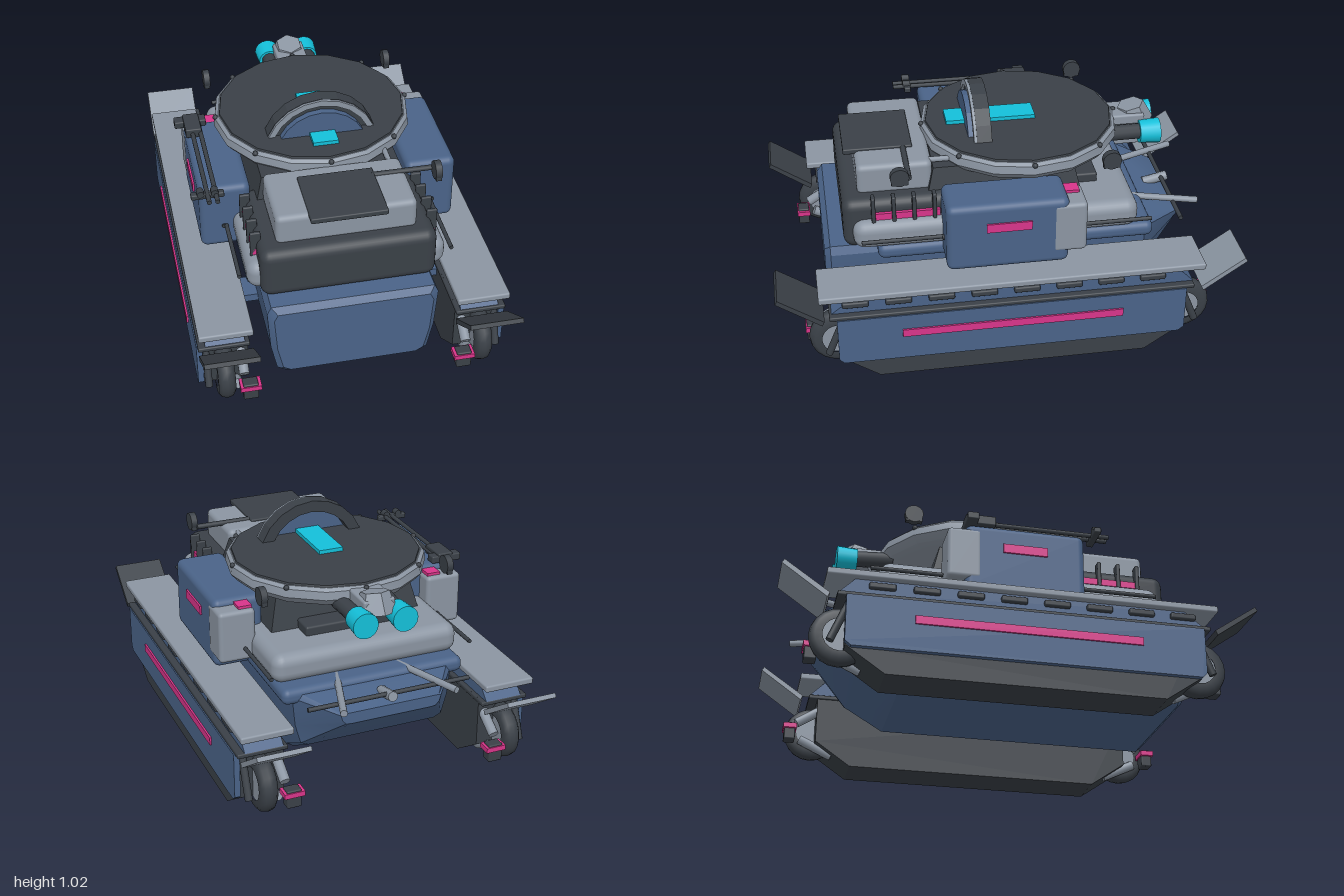
import * as THREE from 'three';
import { RoundedBoxGeometry } from 'three/addons/geometries/RoundedBoxGeometry.js';
import { toCreasedNormals } from 'three/addons/utils/BufferGeometryUtils.js';

const mat = (name, color) => { const m = new THREE.MeshStandardMaterial({ color }); m.name = name; return m; };

export function createModel() {
  const root = new THREE.Group();
  root.name = 'trackedVehicle';
  const grey = mat('light grey', 0x8b95a2), dark = mat('charcoal', 0x3a4047), blue = mat('slate blue', 0x4a6388);
  const cyan = mat('cyan glow', 0x14c0da), pink = mat('magenta trim', 0xd8358a);

  const add = (name, geo, material, x = 0, y = 0, z = 0) => {
    const m = new THREE.Mesh(geo, material);
    m.name = name;
    m.position.set(x, y, z);
    root.add(m);
    return m;
  };
  // box from its extents, with optional rounded edges
  const box = (name, m, x0, x1, y0, y1, z0, z1, r = 0) => {
    const s = [Math.abs(x1 - x0), y1 - y0, z1 - z0];
    const g = r ? new RoundedBoxGeometry(...s, 3, r) : new THREE.BoxGeometry(...s);
    return add(name, g, m, (x0 + x1) / 2, (y0 + y1) / 2, (z0 + z1) / 2);
  };
  // round bar between two points
  const bar = (name, m, a, b, r, sides = 10) => {
    const p = new THREE.Vector3(...a), q = new THREE.Vector3(...b), d = q.clone().sub(p);
    const o = add(name, new THREE.CylinderGeometry(r, r, d.length(), sides), m);
    o.position.copy(p).add(q).multiplyScalar(0.5);
    o.quaternion.setFromUnitVectors(new THREE.Vector3(0, 1, 0), d.normalize());
    return o;
  };
  const plate = (pts) => new THREE.Shape(pts.map(p => new THREE.Vector2(...p)));
  // side profile given as (z, y), extruded across x
  const sideExtrude = (name, m, pts, x0, x1) => {
    const g = new THREE.ExtrudeGeometry(plate(pts.map(([z, y]) => [-z, y])), { depth: x1 - x0, bevelEnabled: false });
    g.rotateY(Math.PI / 2);
    return add(name, g, m, x0, 0, 0);
  };
  const mirrorSpan = (s, a, b) => s > 0 ? [a, b] : [-b, -a];

  // hull lofted through cross-sections from front to back: z, bottom, top, width
  const stations = [[0.775, 0.14, 0.455, 0.93], [0.75, 0.12, 0.48, 1], [-0.45, 0.12, 0.48, 1],
    [-0.62, 0.22, 0.48, 1], [-0.8, 0.39, 0.44, 0.62]];
  const ring = [[0.29, 0], [0.325, 0.06], [0.35, 0.4], [0.362, 0.9], [0.345, 1]];
  const section = [...ring, ...ring.map(([x, y]) => [-x, y]).reverse()], n = section.length;
  const pos = [], idx = [];
  stations.forEach(([z, b, t, w], i) => {
    section.forEach(([x, y]) => pos.push(x * w, b + (t - b) * y, z));
    if (!i) return;
    for (let j = 0; j < n; j++) {
      const k = (j + 1) % n, a = (i - 1) * n, c = i * n;
      idx.push(a + j, c + j, a + k, c + j, c + k, a + k);
    }
  });
  const last = (stations.length - 1) * n;
  for (let j = 1; j < n - 1; j++) idx.push(0, j, j + 1, last, last + j + 1, last + j);
  const hull = new THREE.BufferGeometry();
  hull.setAttribute('position', new THREE.Float32BufferAttribute(pos, 3));
  hull.setIndex(idx);
  add('hull', toCreasedNormals(hull, 0.5), blue);
  box('hullShoulder', blue, -0.41, 0.41, 0.43, 0.5, -0.645, 0.55, 0.03);

  // deck, engine housing and pedestal
  box('deck', grey, -0.42, 0.42, 0.49, 0.62, -0.575, 0.65, 0.05);
  box('engineHousing', dark, -0.37, 0.37, 0.475, 0.705, 0.22, 0.69, 0.045);
  box('engineCover', grey, -0.295, 0.295, 0.69, 0.83, 0.3, 0.62, 0.025);
  box('engineHatch', dark, -0.16, 0.16, 0.815, 0.84, 0.37, 0.665, 0.006);
  const ped = new THREE.CylinderGeometry(0.42, 0.49, 0.2, 4).rotateY(Math.PI / 4);
  add('turretPedestal', ped, dark, 0, 0.7, 0).geometry = toCreasedNormals(ped, 0.4);
  box('rearVent', dark, -0.22, 0.22, 0.6, 0.66, -0.43, -0.25, 0.01);
  bar('coverHandle', dark, [0.15, 0.83, 0.41], [0.41, 0.83, 0.41], 0.012);
  bar('coverHandleRod', grey, [0.25, 0.815, 0.16], [0.25, 0.815, 0.42], 0.012);

  for (const s of [-1, 1]) {
    const sbox = (name, m, x0, x1, ...rest) => box(name, m, ...mirrorSpan(s, x0, x1), ...rest);
    const sext = (name, m, pts, x0, x1) => sideExtrude(name, m, pts, ...mirrorSpan(s, x0, x1));

    // side pods
    sbox('sidePod', blue, 0.34, 0.56, 0.445, 0.755, -0.24, 0.275, 0.03);
    sbox('sidePodTrim', pink, 0.555, 0.568, 0.63, 0.67, -0.08, 0.11);
    sbox('rearLocker', grey, 0.4, 0.562, 0.5, 0.73, -0.315, -0.17, 0.018);
    sbox('lockerButton', pink, 0.41, 0.47, 0.725, 0.742, -0.295, -0.235);
    bar('podBolt', dark, [s * 0.46, 0.555, 0.27], [s * 0.46, 0.555, 0.282], 0.01, 8);
    bar('deckRail', dark, [s * 0.45, 0.555, -0.62], [s * 0.45, 0.555, 0.62], 0.009);

    // engine fins over a glowing strip
    sbox('engineStrip', pink, 0.36, 0.385, 0.62, 0.65, 0.28, 0.57);
    for (let i = 0; i < 4; i++) sbox('engineFin', dark, 0.35, 0.395, 0.61, 0.73, 0.295 + i * 0.086, 0.312 + i * 0.086, 0.006);

    // track body, skirt and fender
    sext('trackBody', dark, [[0.74, 0.335], [0.74, 0.11], [0.58, 0], [-0.57, 0], [-0.73, 0.11], [-0.73, 0.335]], 0.445, 0.637);
    sext('skirt', blue, [[0.75, 0.32], [0.75, 0.12], [0.73, 0.1], [-0.71, 0.1], [-0.735, 0.12], [-0.735, 0.32]], 0.635, 0.66);
    sbox('skirtTrim', pink, 0.655, 0.668, 0.215, 0.25, -0.46, 0.48);
    sbox('skirtCap', dark, 0.44, 0.655, 0.315, 0.335, -0.77, 0.78, 0.006);
    sext('fenderSupport', blue, [[0.77, 0.335], [0.68, 0.405], [-0.7, 0.405], [-0.77, 0.335]], 0.46, 0.625);
    sbox('fender', grey, 0.43, 0.655, 0.405, 0.435, -0.815, 0.82, 0.008);
    for (let i = 0; i < 8; i++) sbox('fenderSlot', dark, 0.6, 0.642, 0.365, 0.392, -0.645 + i * 0.18, -0.535 + i * 0.18, 0.008);
    for (const z of [-0.4, 0.4]) sbox('hullStrut', blue, 0.32, 0.46, 0.27, 0.305, z - 0.06, z + 0.06);

    for (const e of [-1, 1]) {
      // raised end flaps
      const pts = [[0.81, 0.3], [0.995, 0.43], [0.985, 0.447], [0.8, 0.32]].map(([z, y]) => [z * e, y]);
      sext('endFlap', e > 0 ? dark : grey, e > 0 ? pts : pts.reverse(), 0.43, 0.655);
      // end wheel with hub and fork
      const tyre = new THREE.LatheGeometry([[0.07, -0.036], [0.1, -0.036], [0.118, -0.022], [0.123, 0],
        [0.118, 0.022], [0.1, 0.036], [0.07, 0.036]].map(p => new THREE.Vector2(...p)), 20).rotateZ(Math.PI / 2);
      add('endTyre', tyre, dark, s * 0.55, 0.175, e * 0.745);
      bar('wheelHub', grey, [s * 0.52, 0.175, e * 0.745], [s * 0.58, 0.175, e * 0.745], 0.073, 16);
      bar('wheelForkUpper', grey, [s * 0.475, 0.29, e * 0.68], [s * 0.475, 0.2, e * 0.82], 0.022);
      bar('wheelForkLower', grey, [s * 0.5, 0.06, e * 0.65], [s * 0.5, 0.13, e * 0.8], 0.022);
      bar('wheelForkOuter', dark, [s * 0.62, 0.3, e * 0.72], [s * 0.62, 0.13, e * 0.79], 0.016);
      const za = e * 0.85;
      sbox('clampBlock', dark, 0.425, 0.488, 0.105, 0.185, za - 0.025, za + 0.025, 0.006);
      sbox('clampBand', pink, 0.412, 0.5, 0.155, 0.177, za - 0.03, za + 0.03);
    }
    // rear poles
    bar('rearPole', grey, [s * 0.13, 0.485, -0.53], [s * 0.25, 0.495, -0.885], 0.015);
    // lamps beside the bracket
    const lamp = new THREE.CylinderGeometry(0.056, 0.05, 0.09, 16).rotateX(-Math.PI / 2);
    add('rearLamp', lamp, cyan, s * 0.088, 0.775, -0.685);
    bar('lampArm', dark, [s * 0.1, 0.785, -0.48], [s * 0.09, 0.78, -0.645], 0.035);
  }

  // rear crossbar and centre mount
  bar('rearCrossbar', dark, [-0.36, 0.48, -0.78], [0.36, 0.48, -0.78], 0.01);
  bar('rearMount', grey, [0, 0.455, -0.7], [0, 0.48, -0.81], 0.022, 8);
  const bracket = new THREE.CylinderGeometry(0.06, 0.085, 0.09, 6);
  add('lampBracket', toCreasedNormals(bracket, 0.3), grey, 0, 0.825, -0.63).rotation.x = 0.25;
  box('lampBracketNeck', grey, -0.07, 0.07, 0.79, 0.85, -0.67, -0.5, 0.01);

  // turret ring, lid and studs
  const tz = -0.113;
  const rim = new THREE.LatheGeometry([[0, 0.765], [0.36, 0.765], [0.41, 0.78], [0.435, 0.81], [0.43, 0.845],
    [0.415, 0.857], [0, 0.857]].map(p => new THREE.Vector2(...p)), 16);
  add('turretRing', toCreasedNormals(rim, 0.6), grey, 0, 0, tz);
  add('turretLid', new THREE.CylinderGeometry(0.408, 0.412, 0.012, 16), dark, 0, 0.859, tz);
  for (let i = 0; i < 8; i++) {
    const a = i * Math.PI / 4;
    add('ringStud', new THREE.SphereGeometry(0.012, 8, 6), dark, 0.427 * Math.sin(a), 0.85, tz + 0.427 * Math.cos(a));
  }
  box('lightStrip', cyan, -0.055, 0.055, 0.86, 0.882, -0.18, 0.21);

  // arch over the lid
  const arc = (r, m, rev) => {
    const pts = [];
    for (let i = 0; i <= m; i++) {
      const a = Math.asin(0.085 / r), t = a + (Math.PI - 2 * a) * i / m;
      pts.push([r * Math.cos(t), 0.775 + r * Math.sin(t)]);
    }
    return rev ? pts.reverse() : pts;
  };
  const arch = (name, shape, m, z, depth) =>
    add(name, new THREE.ExtrudeGeometry(shape, { depth, bevelEnabled: false }), m, 0, 0, z);
  arch('archBand', plate([...arc(0.25, 8), ...arc(0.2, 8, true)]), dark, 0.035, 0.065);
  arch('archEdge', plate([...arc(0.248, 8), ...arc(0.222, 8, true)]), grey, 0.1, 0.012);
  arch('archPanel', plate(arc(0.2, 8)), blue, 0.095, 0.035);

  // round lugs above the deck corners
  for (const [x, z] of [[-0.42, -0.44], [0.42, -0.44], [0.42, 0.45]]) {
    bar('roundLug', dark, [x - 0.014, 0.845, z], [x + 0.014, 0.845, z], 0.04, 14);
    box('lugFoot', dark, x - 0.012, x + 0.012, 0.81, 0.845, z - 0.035, z + 0.035);
  }

  // side rack
  for (const x of [-0.53, -0.495]) bar('rackRail', dark, [x, 0.775, -0.2], [x, 0.775, 0.39], 0.01);
  box('rackBlock', dark, -0.6, -0.46, 0.757, 0.79, -0.24, -0.19, 0.006);
  box('rackClamp', dark, -0.56, -0.49, 0.757, 0.8, -0.24, -0.11, 0.006);
  box('rackEnd', dark, -0.6, -0.46, 0.757, 0.782, 0.31, 0.34, 0.006);
  for (const x of [-0.56, -0.5]) bar('rackStud', dark, [x, 0.785, 0.31], [x, 0.785, 0.345], 0.016, 10);
  return root;
}
